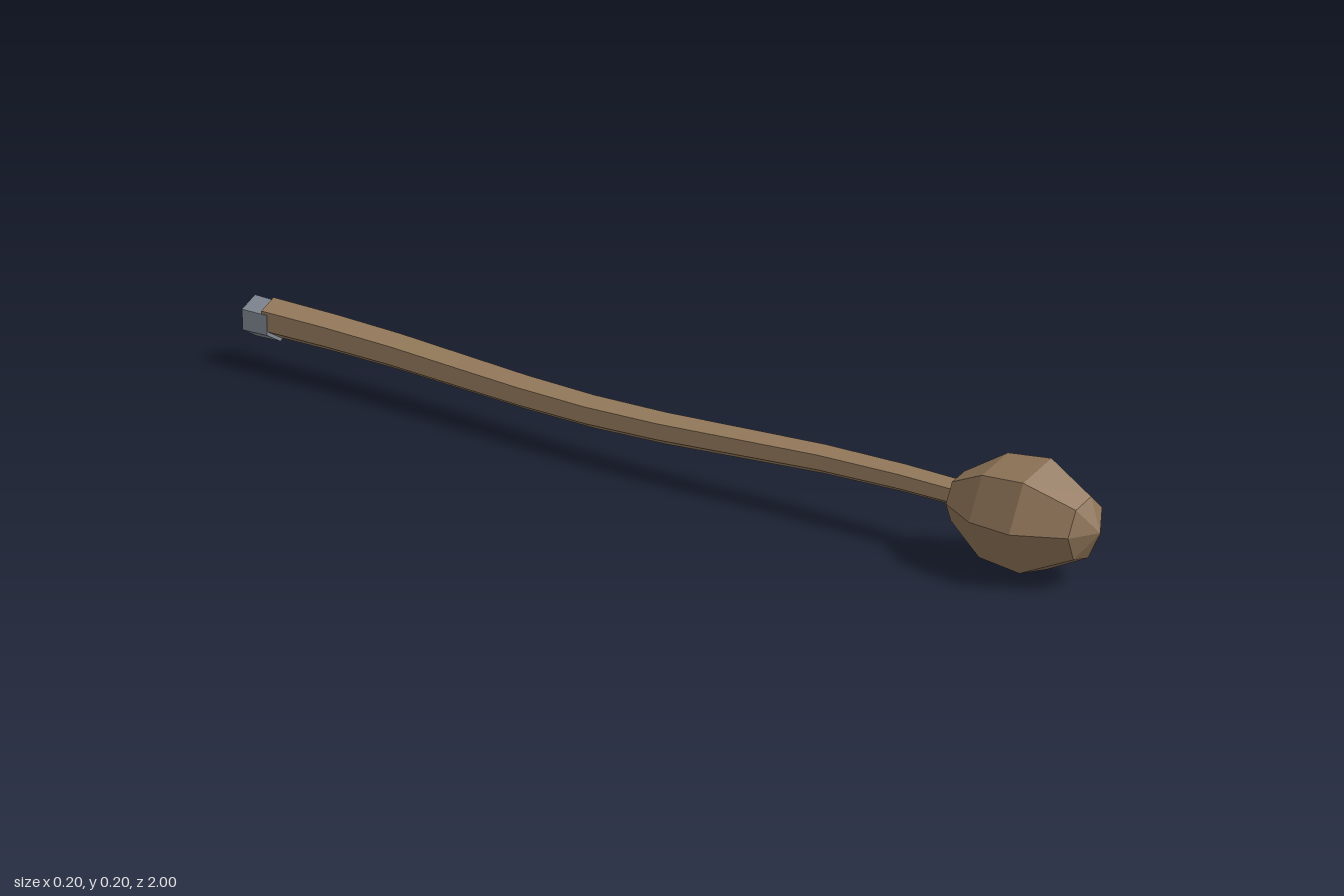
import * as THREE from 'three';

const flat = (color) => new THREE.MeshStandardMaterial({ color, flatShading: true });

// Faceted solid of revolution around z; profile runs back to front as [radius, z]
function turned(name, profile, sides, phiStart, material, x, y) {
  const points = profile.map(([r, z]) => new THREE.Vector2(r, z));
  const geometry = new THREE.LatheGeometry(points, sides, phiStart).rotateX(Math.PI / 2);
  const mesh = new THREE.Mesh(geometry, material);
  mesh.name = name;
  mesh.position.set(x, y, 0);
  return mesh;
}

// Six-sided tapering shaft, bent along a gently wavy centre line
function makeShaft(material) {
  const front = 0.78, back = -0.92, length = front - back;
  const path = new THREE.CatmullRomCurve3([
    [0.002, 0.107, 0.78], [0.008, 0.106, 0.5], [-0.008, 0.097, 0.22], [-0.014, 0.089, 0],
    [-0.004, 0.088, -0.27], [0.008, 0.096, -0.55], [0.005, 0.102, -0.73], [0, 0.105, -0.92],
  ].map((p) => new THREE.Vector3(...p)));
  const samples = path.getPoints(160);
  const centreAt = (z) => samples.reduce((a, b) => (Math.abs(b.z - z) < Math.abs(a.z - z) ? b : a));

  const geometry = new THREE.CylinderGeometry(0.024, 0.041, length, 6, 10).rotateX(Math.PI / 2);
  geometry.translate(0, 0, (front + back) / 2);
  const pos = geometry.attributes.position;
  for (let i = 0; i < pos.count; i++) {
    const c = centreAt(pos.getZ(i));
    pos.setXY(i, pos.getX(i) + c.x, pos.getY(i) + c.y);
  }
  geometry.computeVertexNormals();
  const mesh = new THREE.Mesh(geometry, material);
  mesh.name = 'shaft';
  return mesh;
}

export function createModel() {
  const group = new THREE.Group();
  group.name = 'club';

  // Seven-sided bulbous head
  const head = [[0, 0.725], [0.045, 0.725], [0.094, 0.803], [0.1026, 0.887], [0.056, 0.972], [0, 1]];
  group.add(turned('head', head, 7, -Math.PI / 2, flat(0x8f7458), 0.005, 0.1));

  group.add(makeShaft(flat(0x9c8060)));

  // Metal pommel with a shallow pointed end
  const pommel = [[0, -1], [0.044, -0.973], [0.042, -0.905], [0, -0.905]];
  group.add(turned('pommel', pommel, 6, 0, flat(0x858c97), 0, 0.098));

  return group;
}
